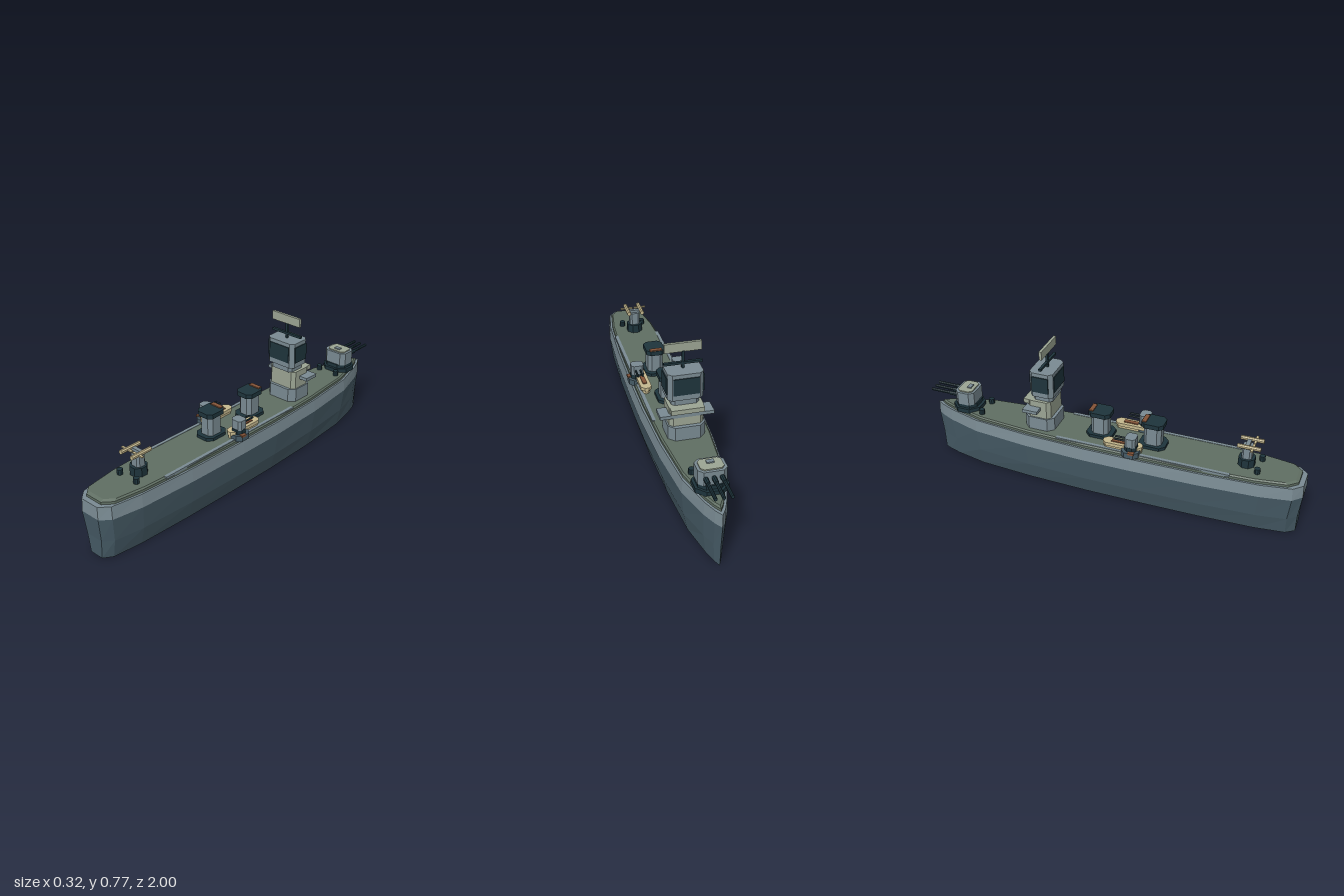
import * as THREE from 'three';

const mat = (name, color, side = THREE.FrontSide) =>
  Object.assign(new THREE.MeshStandardMaterial({ color, side }), { name });

export function createModel() {
  // The hull shell is open below, so its colours show on both sides
  const hullBlue = mat('hull slate', 0x465b66, THREE.DoubleSide);
  const grey = mat('ship grey', 0x7a8b93, THREE.DoubleSide);
  const deckGreen = mat('deck green', 0x606f63, THREE.DoubleSide);
  const dark = mat('dark navy', 0x1e343c);
  const sage = mat('pale sage', 0x9ca594);
  const tan = mat('tan', 0xc6b98f);
  const rust = mat('rust', 0x845438);

  const ship = new THREE.Group();
  ship.name = 'warship';

  const add = (name, geo, material, x, y, z, parent = ship) => {
    const m = new THREE.Mesh(geo, material);
    m.name = name;
    m.position.set(x, y, z);
    parent.add(m);
    return m;
  };
  const box = (name, w, h, d, material, x, y, z, parent) =>
    add(name, new THREE.BoxGeometry(w, h, d), material, x, y, z, parent);

  // Upright block with chamfered corners, standing on y
  const block = (name, w, h, d, c, material, x, y, z, parent) => {
    const a = w / 2, b = d / 2;
    const pts = [[a, -b + c], [a, b - c], [a - c, b], [-a + c, b], [-a, b - c], [-a, -b + c], [-a + c, -b], [a - c, -b]];
    const shape = new THREE.Shape(pts.map(p => new THREE.Vector2(...p)));
    const geo = new THREE.ExtrudeGeometry(shape, { depth: h, bevelEnabled: false }).rotateX(-Math.PI / 2);
    return add(name, geo, material, x, y, z, parent);
  };

  // Flat-sided cylinder, upright or lying along z
  const rod = (name, r, len, sides, material, x, y, z, parent, lying = false) => {
    const indexed = new THREE.CylinderGeometry(r, r, len, sides);
    indexed.rotateY(Math.PI / sides);
    if (lying) indexed.rotateX(Math.PI / 2);
    const geo = indexed.toNonIndexed();
    geo.computeVertexNormals();
    return add(name, geo, material, x, y, z, parent);
  };

  // Plan outline of the hull: half width and z, stern to bow
  const half = [[0.055, 1], [0.1, 0.955], [0.127, 0.8], [0.144, 0.5], [0.15, 0.15], [0.15, -0.1],
    [0.137, -0.42], [0.106, -0.72], [0.054, -0.89], [0.024, -0.957]];
  const outline = [...half, [0, -0.993], ...half.map(([x, z]) => [-x, z]).reverse()];

  // Skin through levels of [y, x scale, z scale], open below
  const loft = (name, levels, material, capTop) => {
    const rings = levels.map(([y, sx, sz]) => outline.map(([x, z]) => [x * sx, y, z * sz]));
    const v = [], n = outline.length;
    const top = rings[rings.length - 1];
    for (let i = 0; i < n; i++) {
      const j = (i + 1) % n;
      for (let l = 0; l < rings.length - 1; l++) {
        const a = rings[l][i], b = rings[l][j], c = rings[l + 1][j], d = rings[l + 1][i];
        v.push(...a, ...b, ...c, ...a, ...c, ...d);
      }
      if (capTop) v.push(0, top[0][1], 0, ...top[i], ...top[j]);
    }
    const geo = new THREE.BufferGeometry();
    geo.setAttribute('position', new THREE.Float32BufferAttribute(v, 3));
    geo.computeVertexNormals();
    return add(name, geo, material, 0, 0, 0);
  };

  // Hull and deck
  loft('lowerHull', [[0, 0.68, 0.983], [0.1, 0.88, 0.986], [0.225, 1, 1]], hullBlue, false);
  loft('upperHull', [[0.225, 1, 1], [0.29, 0.945, 0.997]], grey, true);
  loft('deck', [[0.29, 0.88, 0.972], [0.303, 0.88, 0.972], [0.31, 0.83, 0.955]], deckGreen, true);

  // Bridge tower
  const bridge = new THREE.Group();
  bridge.name = 'bridge';
  ship.add(bridge);
  const bz = -0.342;
  block('bridgeBase', 0.18, 0.07, 0.16, 0.03, grey, 0, 0.31, bz - 0.02, bridge);
  block('bridgeMiddle', 0.166, 0.095, 0.125, 0.018, sage, 0, 0.38, bz - 0.018, bridge);
  box('bridgeLedge', 0.16, 0.024, 0.03, sage, 0, 0.463, bz - 0.083, bridge);
  block('bridgeNeck', 0.134, 0.026, 0.105, 0.015, grey, 0, 0.475, bz, bridge);
  rod('neckPost', 0.008, 0.01, 8, dark, 0, 0.503, bz, bridge);
  block('bridgeHead', 0.172, 0.135, 0.125, 0.02, grey, 0, 0.505, bz, bridge);
  box('bridgeWing', 0.26, 0.017, 0.08, grey, 0, 0.434, bz - 0.045, bridge);
  for (const s of [-1, 1]) {
    box('endWindow', 0.124, 0.086, 0.006, dark, 0, 0.577, bz + s * 0.064, bridge);
    box('sideWindow', 0.008, 0.086, 0.088, dark, s * 0.087, 0.577, bz, bridge);
  }
  box('mast', 0.012, 0.09, 0.012, dark, 0, 0.682, bz + 0.005, bridge);
  box('mastYard', 0.184, 0.012, 0.014, dark, 0, 0.666, bz + 0.005, bridge);
  box('radarPanel', 0.178, 0.045, 0.014, sage, 0, 0.7455, bz + 0.01, bridge);

  // Funnels
  for (const z of [-0.05, 0.23]) {
    const funnel = new THREE.Group();
    funnel.name = 'funnel';
    funnel.position.z = z;
    ship.add(funnel);
    block('funnelBase', 0.112, 0.018, 0.138, 0.025, dark, 0, 0.308, 0, funnel);
    block('funnelBody', 0.078, 0.1, 0.09, 0.018, grey, 0, 0.326, 0, funnel);
    block('funnelCap', 0.098, 0.024, 0.115, 0.02, dark, 0, 0.426, 0, funnel);
    box('funnelVent', 0.064, 0.007, 0.022, rust, 0, 0.452, -0.043, funnel);
  }

  // Bow turret with three guns
  const turret = new THREE.Group();
  turret.name = 'bowTurret';
  turret.position.set(0, 0, -0.8);
  ship.add(turret);
  block('barbette', 0.156, 0.025, 0.15, 0.042, dark, 0, 0.305, 0, turret);
  block('turretRing', 0.13, 0.02, 0.12, 0.03, dark, 0, 0.33, 0, turret);
  block('turretHouse', 0.134, 0.07, 0.105, 0.022, grey, 0, 0.348, 0, turret);
  block('turretRoof', 0.108, 0.006, 0.08, 0.015, sage, 0, 0.418, 0, turret);
  box('turretHatch', 0.035, 0.006, 0.022, grey, 0, 0.427, 0.012, turret);
  for (const x of [-0.037, 0, 0.037]) {
    rod('gunBarrel', 0.008, 0.155, 8, dark, x, 0.386, -0.1225, turret, true);
    rod('gunSleeve', 0.011, 0.045, 8, dark, x, 0.386, -0.07, turret, true);
  }

  // Aft twin gun
  const aft = new THREE.Group();
  aft.name = 'aftGun';
  aft.position.set(0, 0, 0.705);
  ship.add(aft);
  rod('aftPedestal', 0.043, 0.045, 8, dark, 0, 0.3325, 0, aft);
  block('aftMount', 0.054, 0.067, 0.05, 0.01, grey, 0, 0.355, 0, aft);
  box('aftYoke', 0.08, 0.014, 0.02, grey, 0, 0.429, 0, aft);
  for (const s of [-1, 1]) {
    rod('aftBarrel', 0.011, 0.115, 8, tan, s * 0.037, 0.433, 0.012, aft, true);
    box('aftHandle', 0.066, 0.006, 0.012, tan, s * 0.037, 0.433, 0.03, aft);
  }

  // Paired fittings along both sides
  for (const s of [-1, 1]) {
    box('deckStrip', 0.018, 0.012, 0.9, grey, s * 0.116, 0.306, 0.2);
    for (const z of [-0.7, 0.77]) rod('bollard', 0.015, 0.03, 8, dark, s * 0.056, 0.322, z);

    // Side gun on a sponson
    const gun = new THREE.Group();
    gun.name = 'sideGun';
    gun.position.set(s * 0.11, 0, 0.15);
    ship.add(gun);
    block('sponson', 0.084, 0.03, 0.09, 0.022, hullBlue, s * 0.004, 0.302, 0, gun);
    block('sideGunRing', 0.066, 0.025, 0.062, 0.018, dark, 0, 0.332, 0, gun);
    block('sideGunHouse', 0.064, 0.05, 0.055, 0.012, grey, 0, 0.355, 0, gun);
    for (const x of [-0.012, 0.012]) rod('sideGunBarrel', 0.005, 0.065, 6, dark, x, 0.38, -0.055, gun, true);
    box('sponsonLocker', 0.02, 0.01, 0.03, rust, s * 0.039, 0.331, 0.012, gun);

    // Lifeboat
    const boat = new THREE.Group();
    boat.name = 'lifeboat';
    boat.position.set(s * 0.092, 0, 0.1);
    ship.add(boat);
    block('boatHull', 0.036, 0.02, 0.196, 0.012, tan, 0, 0.308, 0, boat);
    block('boatGunwale', 0.056, 0.018, 0.204, 0.018, tan, 0, 0.327, 0, boat);
    box('boatCover', 0.022, 0.006, 0.075, rust, 0, 0.347, -0.02, boat);
  }
  return ship;
}
